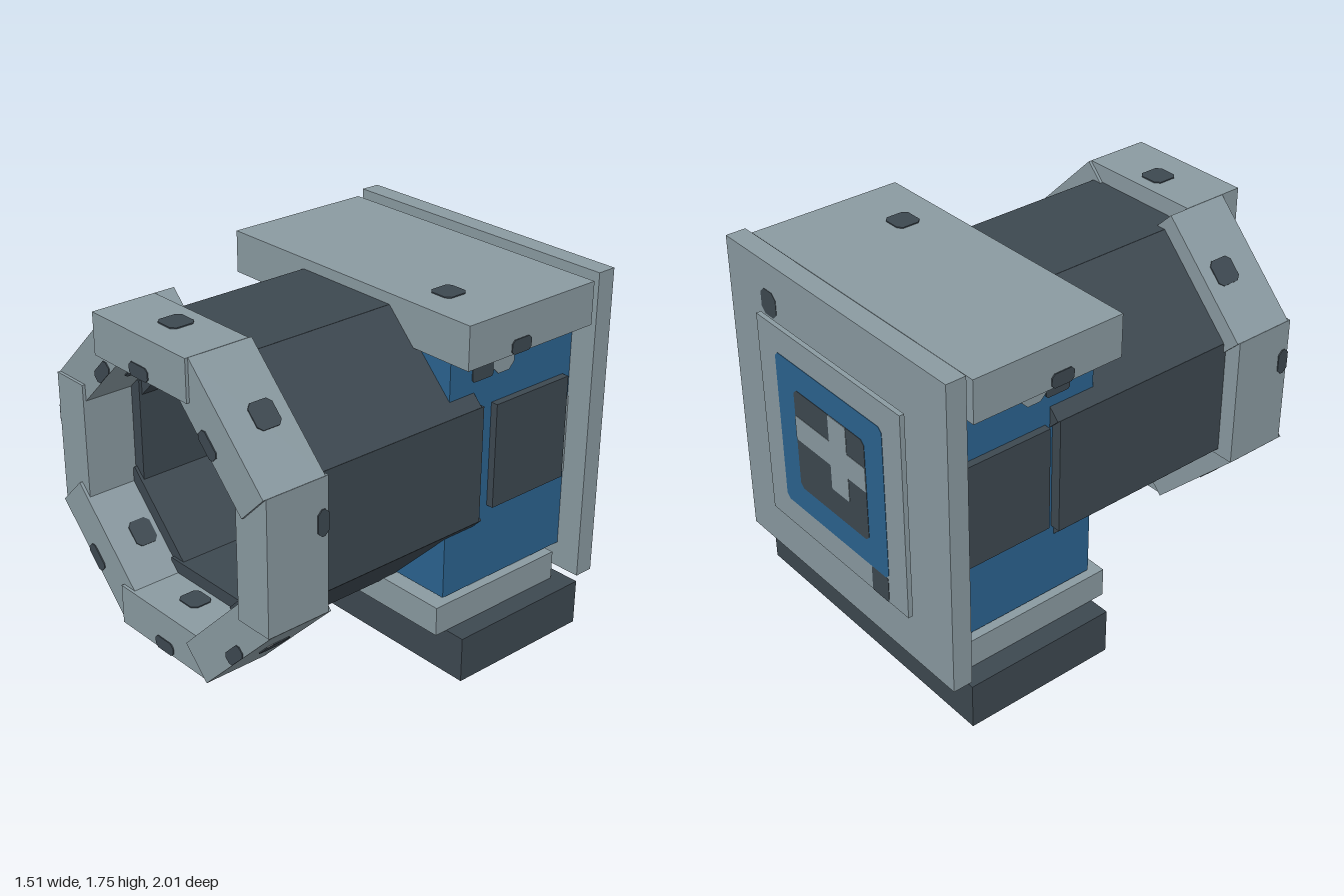
import * as THREE from 'three';

const mat = (name, color) => {
  const m = new THREE.MeshStandardMaterial({ color });
  m.name = name;
  return m;
};

export function createModel() {
  const grey = mat('lightGrey', 0x8a9aa1);
  const dark = mat('darkSlate', 0x3d4850);
  const blue = mat('blue', 0x2b638f);
  const root = new THREE.Group();
  root.name = 'octagonalBarrelBlock';

  // Box from its minimum and maximum corners
  const box = (name, m, [x0, y0, z0], [x1, y1, z1], parent = root) => {
    const mesh = new THREE.Mesh(new THREE.BoxGeometry(x1 - x0, y1 - y0, z1 - z0), m);
    mesh.position.set((x0 + x1) / 2, (y0 + y1) / 2, (z0 + z1) / 2);
    mesh.name = name;
    parent.add(mesh);
    return mesh;
  };

  // Thin plate with clipped corners, facing along the given direction
  const plate = (name, m, w, h, clip, pos, dir, parent = root) => {
    const a = w / 2, b = h / 2, s = new THREE.Shape();
    const pts = [[a - clip, b], [-a + clip, b], [-a, b - clip], [-a, -b + clip],
      [-a + clip, -b], [a - clip, -b], [a, -b + clip], [a, b - clip]];
    s.setFromPoints(pts.map(p => new THREE.Vector2(...p)));
    const mesh = new THREE.Mesh(new THREE.ExtrudeGeometry(s, { depth: 0.005, bevelEnabled: false }), m);
    mesh.position.set(...pos);
    if (dir === 'up') mesh.rotation.x = -Math.PI / 2;
    if (dir === 'down') mesh.rotation.x = Math.PI / 2;
    if (dir === 'left') mesh.rotation.y = Math.PI / 2;
    if (dir === 'right') mesh.rotation.y = -Math.PI / 2;
    if (dir === 'back') mesh.rotation.y = Math.PI;
    mesh.name = name;
    parent.add(mesh);
  };

  // Base, body, roof and back
  box('base', dark, [-0.75, 0, -0.87], [0.75, 0.22, -0.12]);
  box('basePlate', grey, [-0.65, 0.22, -0.805], [0.65, 0.36, -0.055]);
  box('body', blue, [-0.62, 0.375, -0.872], [0.62, 1.625, -0.12]);
  box('roof', grey, [-0.75, 1.52, -0.84], [0.75, 1.72, -0.09]);
  box('backPlate', grey, [-0.75, 0.25, -0.965], [0.75, 1.75, -0.87]);
  box('backPanel', grey, [-0.5, 0.5, -1.0], [0.5, 1.5, -0.977]);

  // Side panels and painted patches on both sides
  for (const s of [-1, 1]) {
    const dir = s > 0 ? 'left' : 'right';
    const panel = box('sidePanel', dark, [-0.02, 0.75, -0.825], [0.02, 1.25, -0.375]);
    panel.position.x = s * 0.635;
    plate('sidePatchDark', dark, 0.125, 0.125, 0.01, [s * 0.62, 1.44, -0.312], dir);
    plate('sidePatchGrey', grey, 0.125, 0.125, 0.03, [s * 0.62, 1.44, -0.437], dir);
    plate('sidePatchRear', grey, 0.04, 0.38, 0.002, [s * 0.62, 0.94, -0.85], dir);
    plate('roofSidePatch', dark, 0.115, 0.065, 0.015, [s * 0.75, 1.552, -0.4], dir);
  }
  plate('roofPatch', dark, 0.12, 0.12, 0.02, [0.43, 1.72, -0.285], 'up');

  // Painted square and cross on the back panel
  plate('backSquareBlue', blue, 0.75, 0.75, 0.02, [0, 1, -0.997], 'back');
  plate('backSquareDark', dark, 0.5, 0.5, 0.02, [0, 1, -0.999], 'back');
  plate('backCrossBar', grey, 0.5, 0.12, 0.005, [0, 1.06, -1.001], 'back');
  plate('backCrossPost', grey, 0.125, 0.37, 0.005, [-0.062, 1.065, -1.001], 'back');
  plate('backPanelPatch', dark, 0.115, 0.125, 0.005, [-0.312, 0.563, -0.997], 'back');
  plate('backPlatePatch', dark, 0.11, 0.12, 0.025, [0.45, 1.555, -0.962], 'back');

  // Eight staggered pieces of the barrel and of its front ring, clockwise from the top
  for (let i = 0; i < 8; i++) {
    const arm = new THREE.Group();
    arm.name = 'barrelSegment';
    arm.position.y = 1;
    arm.rotation.z = -i * Math.PI / 4;
    root.add(arm);

    const back = -0.25 - i * 0.0143, front = 1 - i * 0.0143;
    box('barrelWall', dark, [-0.277, 0.5, back], [0.277, 0.67, back + 1], arm);
    box('ringBlock', grey, [-0.31, 0.56, front - 0.31], [0.31, 0.75, front], arm);

    // Dark patches on the ring block
    const sideways = i === 2 || i === 6;
    const z = i === 2 ? front - 0.282 : i === 6 ? front - 0.028 : front - 0.19;
    const x = i === 2 ? -0.11 : i === 6 ? 0.11 : 0;
    plate('ringOuterPatch', dark, 0.12, sideways ? 0.056 : 0.12, 0.02, [x, 0.75, z], 'up', arm);
    if (!sideways) {
      plate('ringInnerPatch', dark, 0.12, 0.11, 0.02, [0, 0.56, front - 0.17], 'down', arm);
      const low = i >= 3 && i <= 5;
      plate('ringFrontPatch', dark, 0.125, 0.06, 0.015, [0, low ? 0.72 : 0.59, front], 'front', arm);
    }
  }

  // Octagonal floor inside the barrel with four stepped dark patches
  const floor = new THREE.Mesh(new THREE.CylinderGeometry(0.55, 0.55, 0.008, 8), grey);
  floor.geometry.rotateY(Math.PI / 8).rotateX(Math.PI / 2);
  floor.position.set(0, 1, -0.116);
  floor.name = 'barrelFloor';
  root.add(floor);
  const step = new THREE.Shape([[-0.25, 0.51], [-0.25, 0.4], [-0.23, 0.38], [-0.125, 0.38],
    [-0.125, 0.28], [-0.1, 0.25], [0.1, 0.25], [0.125, 0.28], [0.125, 0.38], [0.23, 0.38],
    [0.25, 0.4], [0.25, 0.51]].map(p => new THREE.Vector2(...p)));
  const stepGeo = new THREE.ExtrudeGeometry(step, { depth: 0.005, bevelEnabled: false });
  for (let i = 0; i < 4; i++) {
    const patch = new THREE.Mesh(stepGeo, dark);
    patch.position.set(0, 1, -0.112);
    patch.rotation.z = i * Math.PI / 2;
    patch.name = 'floorPatch';
    root.add(patch);
  }
  return root;
}
